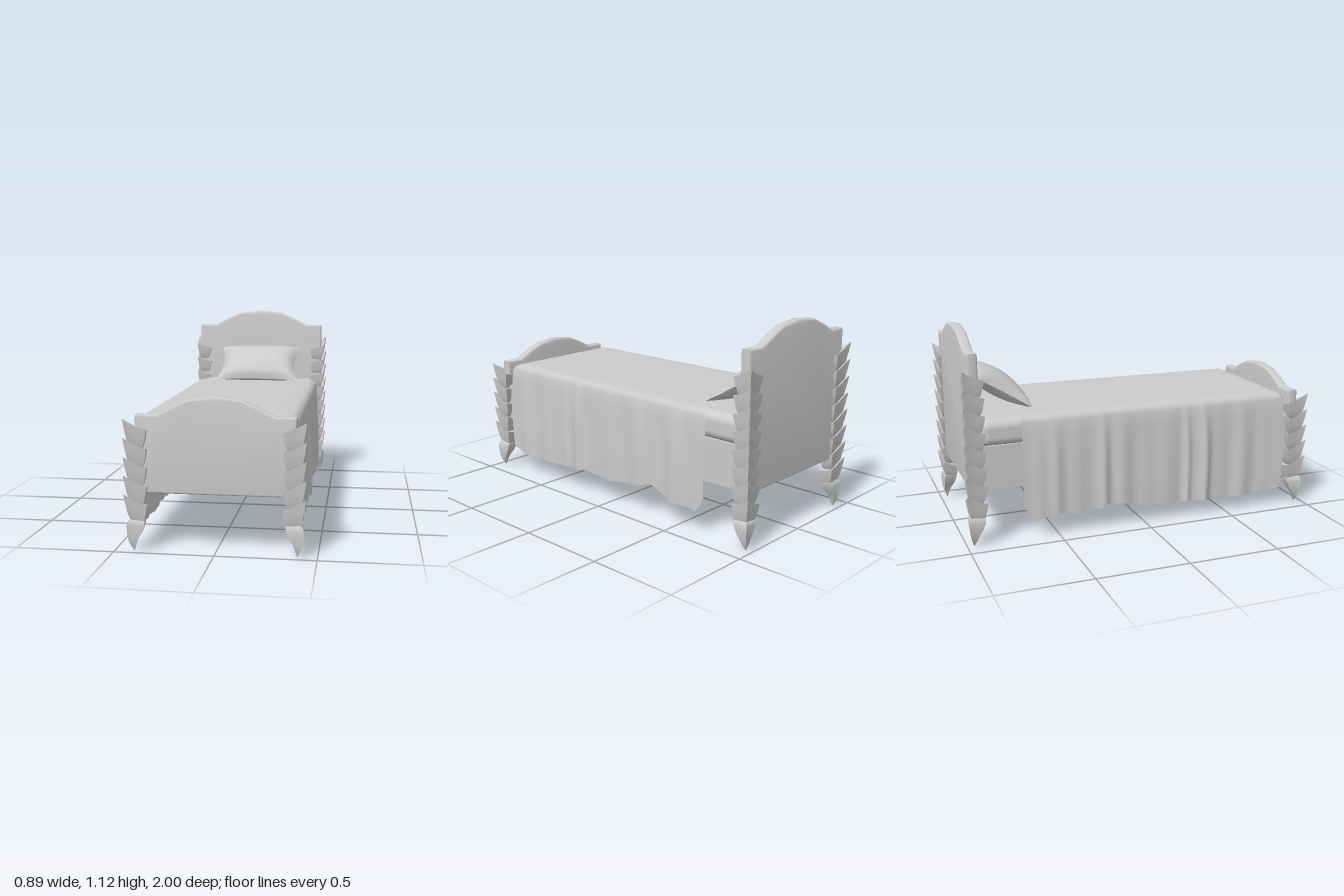
import * as THREE from 'three';
import { toCreasedNormals } from 'three/addons/utils/BufferGeometryUtils.js';
import { RoundedBoxGeometry } from 'three/addons/geometries/RoundedBoxGeometry.js';

const solid = new THREE.MeshStandardMaterial({ color: 0xcccccc });
const thin = new THREE.MeshStandardMaterial({ color: 0xcccccc, side: THREE.DoubleSide });

function add(parent, name, geometry, material = solid) {
  const mesh = new THREE.Mesh(geometry, material);
  mesh.name = name;
  parent.add(mesh);
  return mesh;
}

// Skin a list of equally long rows of [x, y, z] points
function loft(rows, closed, crease) {
  const n = rows[0].length, index = [];
  for (let j = 0; j < rows.length - 1; j++) {
    for (let k = 0; k < (closed ? n : n - 1); k++) {
      const a = j * n + k, c = j * n + (k + 1) % n;
      index.push(a, a + n, c, c, a + n, c + n);
    }
  }
  const g = new THREE.BufferGeometry();
  g.setAttribute('position', new THREE.Float32BufferAttribute(rows.flat(2), 3));
  g.setIndex(index);
  g.computeVertexNormals();
  return crease ? toCreasedNormals(g, crease) : g;
}

// Linear interpolation through [position, value] pairs sorted by position
function interpolate(table, t) {
  let i = 0;
  while (i < table.length - 2 && t > table[i + 1][0]) i++;
  const [a, va] = table[i], [b, vb] = table[i + 1];
  return va + (vb - va) * THREE.MathUtils.clamp((t - a) / (b - a), 0, 1);
}

// Arched end board, from half an outline of the top edge
function board(half, bottom) {
  const side = half[half.length - 1][0];
  const shape = new THREE.Shape();
  shape.moveTo(-side, bottom);
  shape.lineTo(side, bottom);
  [...half].reverse().forEach(([x, y]) => shape.lineTo(x, y));
  half.slice(1).forEach(([x, y]) => shape.lineTo(-x, y));
  const g = new THREE.ExtrudeGeometry(shape, {
    depth: 0.032, bevelThickness: 0.012, bevelSize: 0.012, bevelOffset: -0.012, bevelSegments: 3,
  });
  g.translate(0, 0, -0.016);
  return toCreasedNormals(g, 0.6);
}

// Cross-section of a post: the pointed corner faces out, [x, z, drop]
const section = [
  [1, 1, 0], [0.45, 0.86, 0.02], [-0.3, 0.84, 0.042], [-1, 0.8, 0.055], [-0.95, 0, 0.068],
  [-0.8, -0.8, 0.08], [0, -0.95, 0.068], [0.8, -1, 0.055], [0.84, -0.3, 0.042], [0.86, 0.45, 0.02],
];
const postRing = (y, r, cx, cz, slope) =>
  section.map(([x, z, drop]) => [cx + x * r, y - drop * slope, cz + z * r]);

// Post of stacked flaring scales that ends in a claw foot
function post(name, top, layers) {
  const group = new THREE.Group();
  group.name = name;
  const cx = 0.388, cz = 0.943;
  for (let i = 0; i < layers; i++) {
    const y = top - i * 0.093;
    const rows = [[-0.13, 0.032, 0.4], [-0.1, 0.041, 0.6], [-0.055, 0.049, 0.85], [0, 0.057, 1], [-0.06, 0.001, 0.3]]
      .map(([dy, r, slope]) => postRing(y + dy, r, cx, cz, slope));
    add(group, 'postScale', loft(rows, true, 0.8), thin);
  }
  const claw = [
    [0, 0.0005, 0.402, 0.962], [0.03, 0.013, 0.406, 0.963], [0.06, 0.023, 0.406, 0.96],
    [0.095, 0.036, 0.398, 0.951], [0.13, 0.044, 0.392, 0.945], [0.152, 0.042, cx, cz], [0.18, 0.001, cx, cz],
  ].map(([y, r, x, z]) => postRing(y, r, x, z, 0));
  add(group, 'clawFoot', loft(claw, true, 0.8), thin);
  return group;
}

// Blanket draped over the mattress, with wavy hems at both sides
function blanket() {
  const hems = {
    1: [[-0.69, 0.2], [-0.64, 0.12], [-0.5, 0.13], [-0.4, 0.15], [-0.32, 0.19], [-0.23, 0.16], [-0.15, 0.15],
      [0, 0.13], [0.2, 0.14], [0.5, 0.12], [0.75, 0.12], [0.85, 0.145]],
    [-1]: [[-0.69, 0.18], [-0.65, 0.1], [-0.45, 0.125], [-0.38, 0.1], [-0.32, 0.135], [-0.27, 0.11], [-0.24, 0.14],
      [-0.13, 0.13], [0, 0.1], [0.3, 0.09], [0.6, 0.08], [0.85, 0.1]],
  };
  // Half profile: distance from the middle and share of the fall to the hem
  const half = [[0, 0], [0.18, 0], [0.32, 0], [0.362, 0.006], [0.384, 0.025], [0.394, 0.07], [0.396, 0.18],
    [0.397, 0.32], [0.398, 0.46], [0.4, 0.6], [0.402, 0.74], [0.403, 0.88], [0.402, 1]];
  const profile = [...half.slice(1).reverse().map(([x, f]) => [-x, f]), ...half];
  const fold = (z, s) => {
    const a = 0.5 + 0.5 * Math.sin(26 * z + 1.2 * s), b = 0.5 + 0.5 * Math.sin(43 * z + 2 + s);
    const pleat = Math.exp(-(((z - 0.25) / 0.02) ** 2)) + Math.exp(-(((z - 0.36) / 0.025) ** 2))
      + Math.exp(-(((z + 0.24) / 0.03) ** 2)) + Math.exp(-(((z + 0.51) / 0.04) ** 2));
    return 0.011 * a * a + 0.006 * b + (s < 0 ? 0.022 : 0.012) * pleat;
  };
  const stations = [];
  for (let i = 0; i <= 110; i++) stations.push([-0.69 + 1.51 * i / 110, 0]);
  stations.push([0.835, 0.003], [0.848, 0.01], [0.854, 0.022]);
  const rows = stations.map(([z, fall]) => profile.map(([x, f]) => {
    const s = x < 0 ? -1 : 1;
    const hem = interpolate(hems[s], z);
    const wave = fold(z, s) * Math.min(1, f * 2.5);
    const y = Math.min(0.671 - f * (0.671 - hem), 0.671 - fall);
    // The foot edge of each side swings forward halfway down
    const swing = 0.024 * Math.sin(Math.PI * f) * Math.max(0, z);
    return [x + s * wave, y, z + swing];
  }));
  return loft(rows, false);
}

// Pillow: two bulging sheets joined at a seam with pulled-out corners
function pillow(sign) {
  const n = 20, rows = [];
  for (let j = 0; j <= n; j++) {
    const row = [];
    for (let k = 0; k <= n; k++) {
      const u = 2 * k / n - 1, v = 2 * j / n - 1;
      const puff = Math.sqrt((1 - u ** 4) * (1 - v * v)) * (1 - 0.25 * u * u);
      row.push([
        u * (0.237 + 0.03 * v * v),
        sign * puff * (sign > 0 ? 0.08 : 0.056),
        v * (0.168 + 0.014 * u * u),
      ]);
    }
    rows.push(sign > 0 ? row : row.reverse());
  }
  return loft(rows, false);
}

export function createModel() {
  const bed = new THREE.Group();
  bed.name = 'bed';

  // End boards
  add(bed, 'headboard', board([[0, 1.115], [0.14, 1.1], [0.22, 1.066], [0.31, 1.02], [0.413, 1.02]], 0.29))
    .position.z = -0.938;
  add(bed, 'footboard', board([[0, 0.773], [0.13, 0.757], [0.21, 0.723], [0.29, 0.68], [0.395, 0.68]], 0.29))
    .position.z = 0.93;

  // Side rails and the mattress resting between them
  for (const s of [-1, 1]) {
    add(bed, 'sideRail', new THREE.BoxGeometry(0.012, 0.235, 1.83)).position.set(s * 0.384, 0.4125, -0.004);
  }
  add(bed, 'mattress', new RoundedBoxGeometry(0.756, 0.148, 1.8, 5, 0.05)).position.set(0, 0.588, -0.005);

  // Corner posts, mirrored
  for (const s of [-1, 1]) {
    const front = post('frontPost', 0.665, 5);
    front.scale.set(s, 1, 1);
    const back = post('backPost', 0.94, 8);
    back.scale.set(s, 1, -1);
    bed.add(front, back);
  }

  // Bedding
  add(bed, 'blanket', blanket(), thin);
  const cushion = new THREE.Group();
  cushion.name = 'pillow';
  add(cushion, 'pillowTop', pillow(1), thin);
  add(cushion, 'pillowBottom', pillow(-1), thin);
  cushion.position.set(0.01, 0.773, -0.745);
  cushion.rotation.x = 0.55;
  bed.add(cushion);

  return bed;
}
